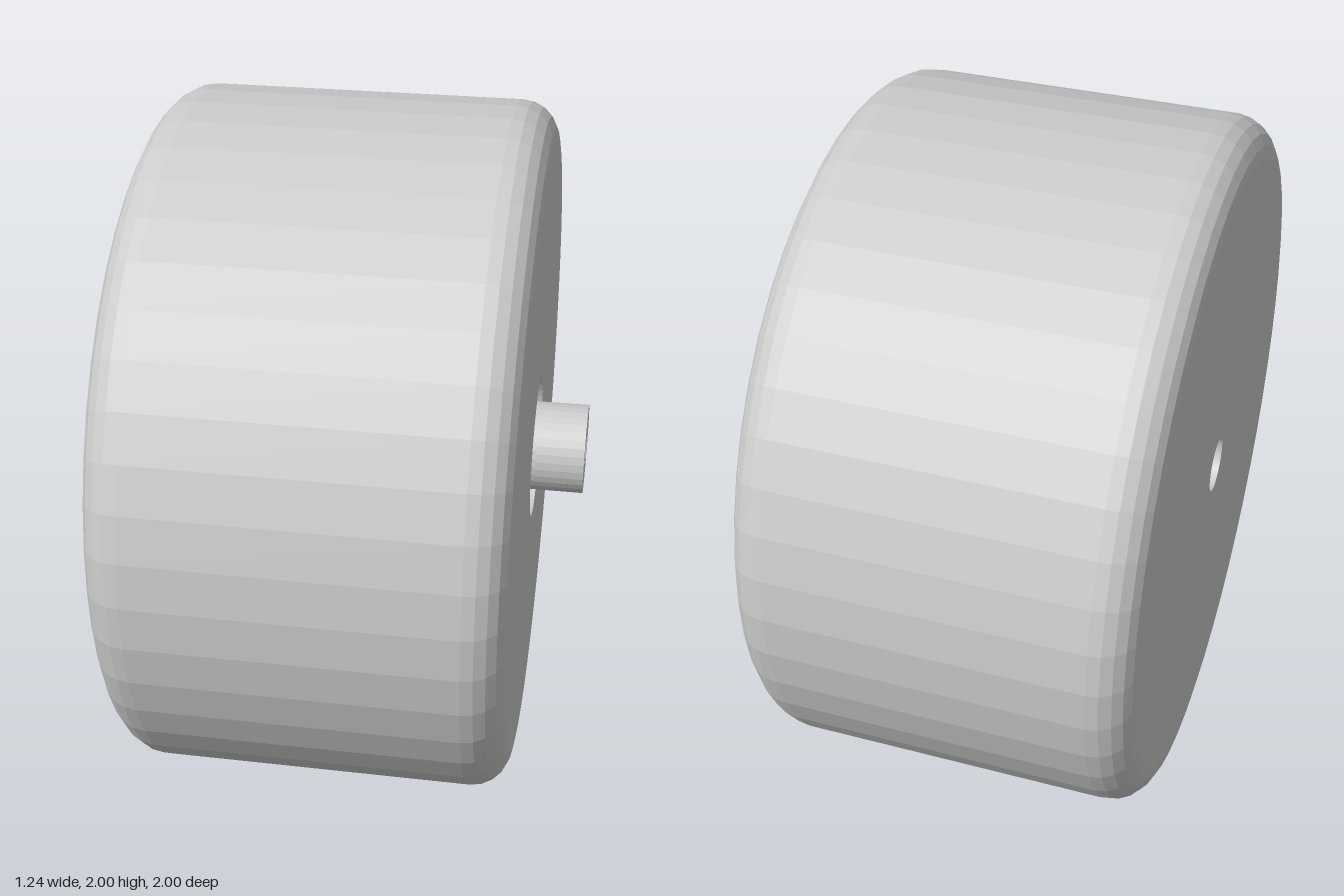
import * as THREE from 'three';

export function createModel() {
  const model = new THREE.Group();
  model.name = 'wheel';
  const material = new THREE.MeshStandardMaterial({ color: 0xcccccc, flatShading: true });

  // The axle is modelled along +y and laid over to +x at the end.
  const axle = new THREE.Group();
  axle.name = 'wheelAssembly';
  axle.rotation.z = -Math.PI / 2;
  axle.position.y = 1;
  model.add(axle);

  const add = (name, geometry) => {
    const mesh = new THREE.Mesh(geometry, material);
    mesh.name = name;
    axle.add(mesh);
  };
  const lathe = (points, segments) =>
    new THREE.LatheGeometry(points.map(([r, y]) => new THREE.Vector2(r, y)), segments);

  const INNER = -0.62, OUTER = 0.475, FLOOR = 0.05;
  const FILLET = 0.11, HUB_R = 0.13, BORE_R = 0.045, HUB_END = 0.62, HEX_END = 0.3;

  // Tyre: rounded drum with a screw hole on one face and a hub recess on the other
  const profile = [[0.08, INNER]];
  const fillet = (y, from) => {
    for (let i = 0; i <= 5; i++) {
      const a = from + (i / 5) * Math.PI / 2;
      profile.push([1 - FILLET + FILLET * Math.cos(a), y + FILLET * Math.sin(a)]);
    }
  };
  fillet(INNER + FILLET, -Math.PI / 2);
  fillet(OUTER - FILLET, 0);
  profile.push([0.21, OUTER], [0.21, FLOOR], [0.08, FLOOR], [0.08, INNER]);
  add('tyre', lathe(profile, 48));

  // Hexagonal base of the hub
  const hex = new THREE.Shape();
  for (let i = 0; i < 6; i++) {
    const a = i * Math.PI / 3;
    hex[i ? 'lineTo' : 'moveTo'](0.165 * Math.cos(a), 0.165 * Math.sin(a));
  }
  hex.closePath();
  hex.holes.push(new THREE.Path().absarc(0, 0, BORE_R, 0, Math.PI * 2, true));
  const hexGeometry = new THREE.ExtrudeGeometry(hex, {
    depth: HEX_END - FLOOR, bevelEnabled: false, curveSegments: 16,
  });
  hexGeometry.rotateX(-Math.PI / 2).translate(0, FLOOR, 0);
  add('hexHub', hexGeometry);

  // Round hub: end face and bore, then the side around the set screw hole
  add('hubBore', lathe([[HUB_R, HUB_END], [BORE_R, HUB_END], [BORE_R, FLOOR]], 32));

  const HALF = 0.07, SCREW_R = 0.033;
  const screwAngle = THREE.MathUtils.degToRad(130);
  const halfAngle = HALF / HUB_R;
  const screwY = HUB_END - HALF;
  const lowerLength = HUB_END - 2 * HALF - HEX_END;
  const lower = new THREE.CylinderGeometry(HUB_R, HUB_R, lowerLength, 32, 1, true);
  add('hubShaft', lower.translate(0, HEX_END + lowerLength / 2, 0));
  const upper = new THREE.CylinderGeometry(HUB_R, HUB_R, 2 * HALF, 28, 1, true,
    screwAngle + halfAngle, Math.PI * 2 - 2 * halfAngle);
  add('hubCollar', upper.translate(0, screwY, 0));

  // Curved patch: rings blend from a square to the hole, the last row runs down to the bore
  const patch = new THREE.PlaneGeometry(1, 1, 32, 4);
  const pos = patch.attributes.position, uv = patch.attributes.uv;
  for (let i = 0; i < pos.count; i++) {
    const a = uv.getX(i) * Math.PI * 2, row = Math.round(uv.getY(i) * 4);
    const c = Math.cos(a), s = Math.sin(a);
    const square = HALF / Math.max(Math.abs(c), Math.abs(s));
    const r = THREE.MathUtils.lerp(square, SCREW_R, Math.min(row / 3, 1));
    const bend = (c * r) / HUB_R;
    const side = HUB_R * Math.sin(bend);
    const out = row === 4 ? BORE_R * 0.8 : HUB_R * Math.cos(bend);
    pos.setXYZ(i,
      out * Math.sin(screwAngle) + side * Math.cos(screwAngle),
      screwY + s * r,
      out * Math.cos(screwAngle) - side * Math.sin(screwAngle));
  }
  patch.computeVertexNormals();
  add('setScrewHole', patch);

  return model;
}
